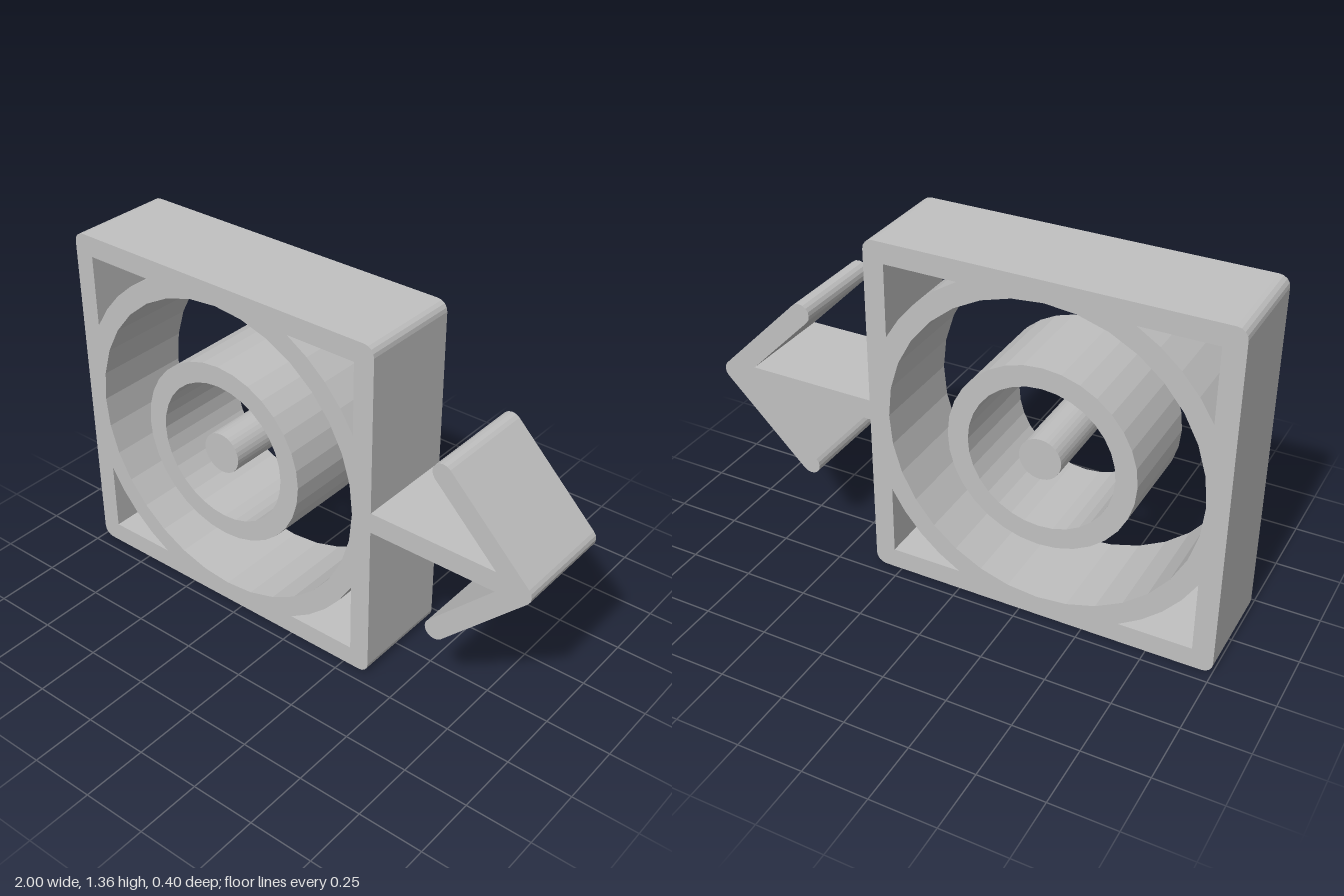
import * as THREE from 'three';

const DEPTH = 0.4, SIDES = 32;

// Points along a circular arc, angles in degrees
function arc(cx, cy, r, from, to, steps) {
  return Array.from({ length: steps + 1 }, (_, i) => {
    const a = THREE.MathUtils.degToRad(from + (to - from) * i / steps);
    return new THREE.Vector2(cx + r * Math.cos(a), cy + r * Math.sin(a));
  });
}

const circle = (r) => arc(0, 0, r, 0, 360, SIDES).slice(0, -1);

export function createModel() {
  const model = new THREE.Group();
  const grey = new THREE.MeshStandardMaterial({ color: 0xc0c0c0 });
  grey.name = 'grey';
  grey.flatShading = true;

  // Extrude an outline, given around the centre of the rings
  function addPart(name, outline, holes = []) {
    const shape = new THREE.Shape(outline);
    shape.holes = holes.map((h) => new THREE.Path(h));
    const geometry = new THREE.ExtrudeGeometry(shape, { depth: DEPTH, bevelEnabled: false });
    geometry.translate(-0.32, 0.68, -DEPTH / 2);
    const mesh = new THREE.Mesh(geometry, grey);
    mesh.name = name;
    model.add(mesh);
  }

  // Square frame with rounded corners, a round opening and four corner windows
  const outer = [], holes = [circle(0.6)];
  const cut = THREE.MathUtils.radToDeg(Math.acos(0.6 / 0.68));
  for (let i = 0; i < 4; i++) {
    const turn = i * 90, mid = THREE.MathUtils.degToRad(turn + 45);
    const cx = Math.SQRT2 * Math.cos(mid), cy = Math.SQRT2 * Math.sin(mid);
    outer.push(...arc(cx * 0.64, cy * 0.64, 0.04, turn, turn + 90, 4));
    holes.push([...arc(0, 0, 0.68, turn + cut, turn + 90 - cut, 4), new THREE.Vector2(cx * 0.6, cy * 0.6)]);
  }
  addPart('frame', outer, holes);

  // Inner ring and centre pin
  addPart('innerRing', circle(0.36), [circle(0.28)]);
  addPart('centrePin', circle(0.08));

  // Arrow: straight shaft and two round-ended barbs
  const tip = 1.28, end = 0.96, s = 0.04 * Math.SQRT2;
  addPart('arrow', [
    new THREE.Vector2(0.67, -0.04),
    new THREE.Vector2(tip - s - 0.04, -0.04),
    ...arc(end, -0.32, 0.04, 135, 315, 8),
    ...arc(tip, 0, 0.04, -45, 45, 4),
    ...arc(end, 0.32, 0.04, 45, 225, 8),
    new THREE.Vector2(tip - s - 0.04, 0.04),
    new THREE.Vector2(0.67, 0.04),
  ]);

  return model;
}
